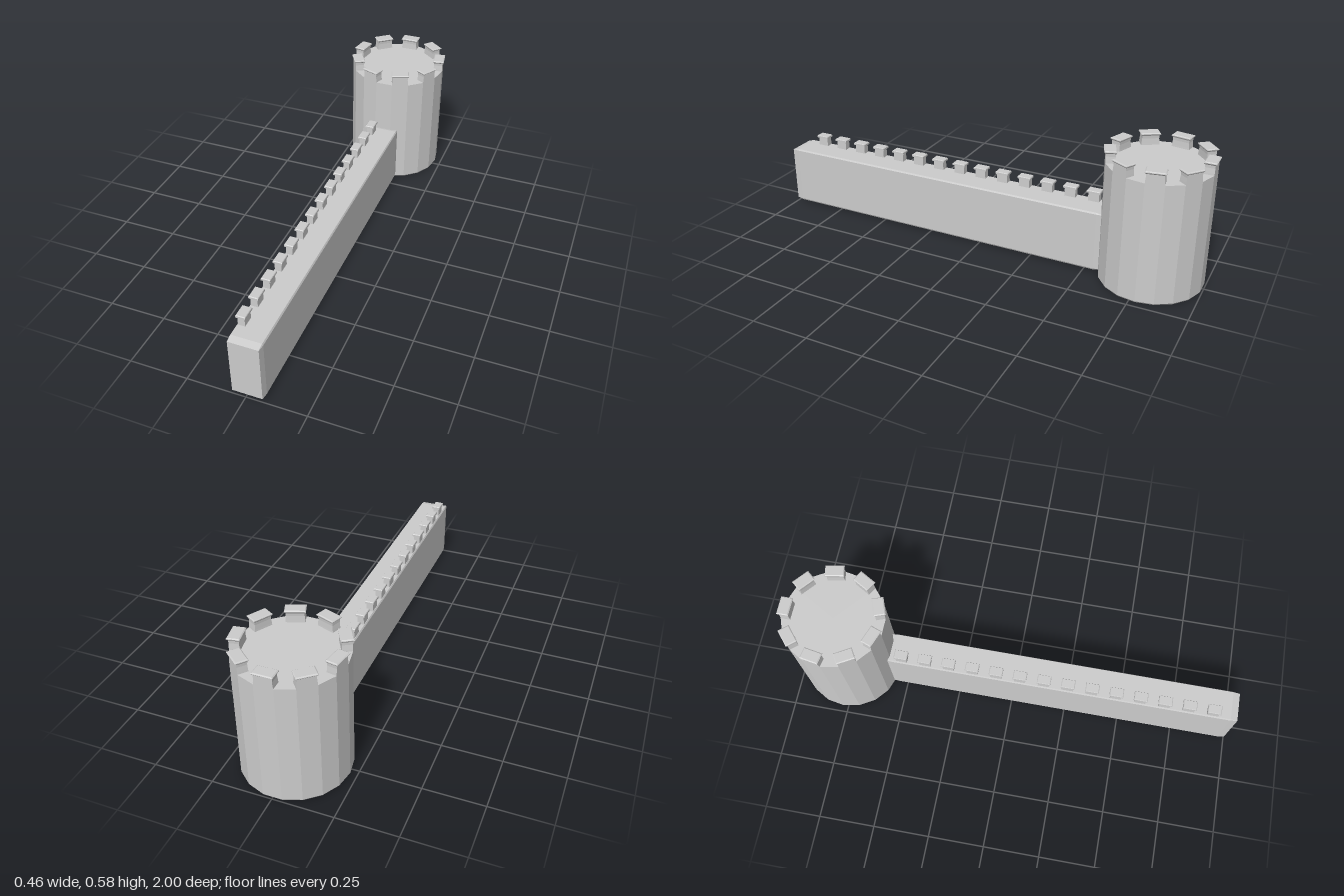
import * as THREE from 'three';
import { ConvexGeometry } from 'three/addons/geometries/ConvexGeometry.js';

const stone = new THREE.MeshStandardMaterial({ color: 0xcccccc, flatShading: true });

function part(name, geometry, parent) {
  const mesh = new THREE.Mesh(geometry, stone);
  mesh.name = name;
  parent.add(mesh);
  return mesh;
}

// Box with chamfered edges; bx, by, bz are the chamfer sizes along each axis
function chamferBox(w, h, d, bx, by, bz) {
  const points = [];
  for (const x of [-1, 1]) for (const y of [-1, 1]) for (const z of [-1, 1]) {
    const X = w / 2, Y = h / 2, Z = d / 2;
    points.push(
      new THREE.Vector3(x * X, y * (Y - by), z * (Z - bz)),
      new THREE.Vector3(x * (X - bx), y * Y, z * (Z - bz)),
      new THREE.Vector3(x * (X - bx), y * (Y - by), z * Z));
  }
  return new ConvexGeometry(points);
}

// Stack of rectangles; each row is [y, half width in x, z min, z max], bottom to top
function loftBox(rows) {
  const geometry = new THREE.BoxGeometry(1, 1, 1, 1, rows.length - 1, 1);
  const p = geometry.attributes.position;
  for (let i = 0; i < p.count; i++) {
    const row = rows[Math.round((p.getY(i) + 0.5) * (rows.length - 1))];
    p.setXYZ(i, Math.sign(p.getX(i)) * row[1], row[0], p.getZ(i) < 0 ? row[2] : row[3]);
  }
  const flat = geometry.toNonIndexed();
  flat.computeVertexNormals();
  return flat;
}

export function createModel() {
  const model = new THREE.Group();
  model.name = 'castleTowerAndWall';

  // Round tower: 18 flat sides, small chamfer at the foot
  const tower = new THREE.Group();
  tower.name = 'tower';
  tower.position.z = -0.775;
  model.add(tower);
  const radius = 0.222, sides = 18;
  const profile = [[0, 0], [radius - 0.004, 0], [radius, 0.006], [radius, 0.525], [0, 0.525]]
    .map(([x, y]) => new THREE.Vector2(x, y));
  part('towerBody', new THREE.LatheGeometry(profile, sides, Math.PI / sides), tower);

  // Nine flared merlons, one on every second side
  const face = radius * Math.cos(Math.PI / sides);
  const towerMerlon = loftBox([
    [0.52, 0.0385, 0.177, face],
    [0.533, 0.0375, 0.178, face],
    [0.553, 0.0355, 0.179, face],
    [0.565, 0.036, 0.178, face],
    [0.571, 0.041, 0.174, face + 0.0065],
    [0.574, 0.041, 0.174, face + 0.0065],
    [0.577, 0.037, 0.178, face + 0.002],
  ]);
  for (let i = 0; i < 9; i++) {
    part('towerMerlon', towerMerlon, tower).rotation.y = Math.PI + i * Math.PI * 2 / 9;
  }

  // Long wall running forward from the tower
  const wall = new THREE.Group();
  wall.name = 'wall';
  model.add(wall);
  const back = -0.575, front = 1;
  part('wallBody', chamferBox(0.134, 0.27, front - back, 0.004, 0.007, 0.03), wall)
    .position.set(0.007, 0.145, (front + back) / 2);

  // Row of capped merlons along the right edge of the wall
  const wallMerlon = loftBox([
    [0.275, 0.015, -0.025, 0.025],
    [0.315, 0.014, -0.024, 0.024],
    [0.318, 0.020, -0.030, 0.030],
    [0.326, 0.020, -0.030, 0.030],
    [0.329, 0.018, -0.027, 0.027],
  ]);
  for (let i = 0; i < 14; i++) {
    part('wallMerlon', wallMerlon, wall).position.set(-0.039, 0, 0.89 - i * 0.1068);
  }
  return model;
}
